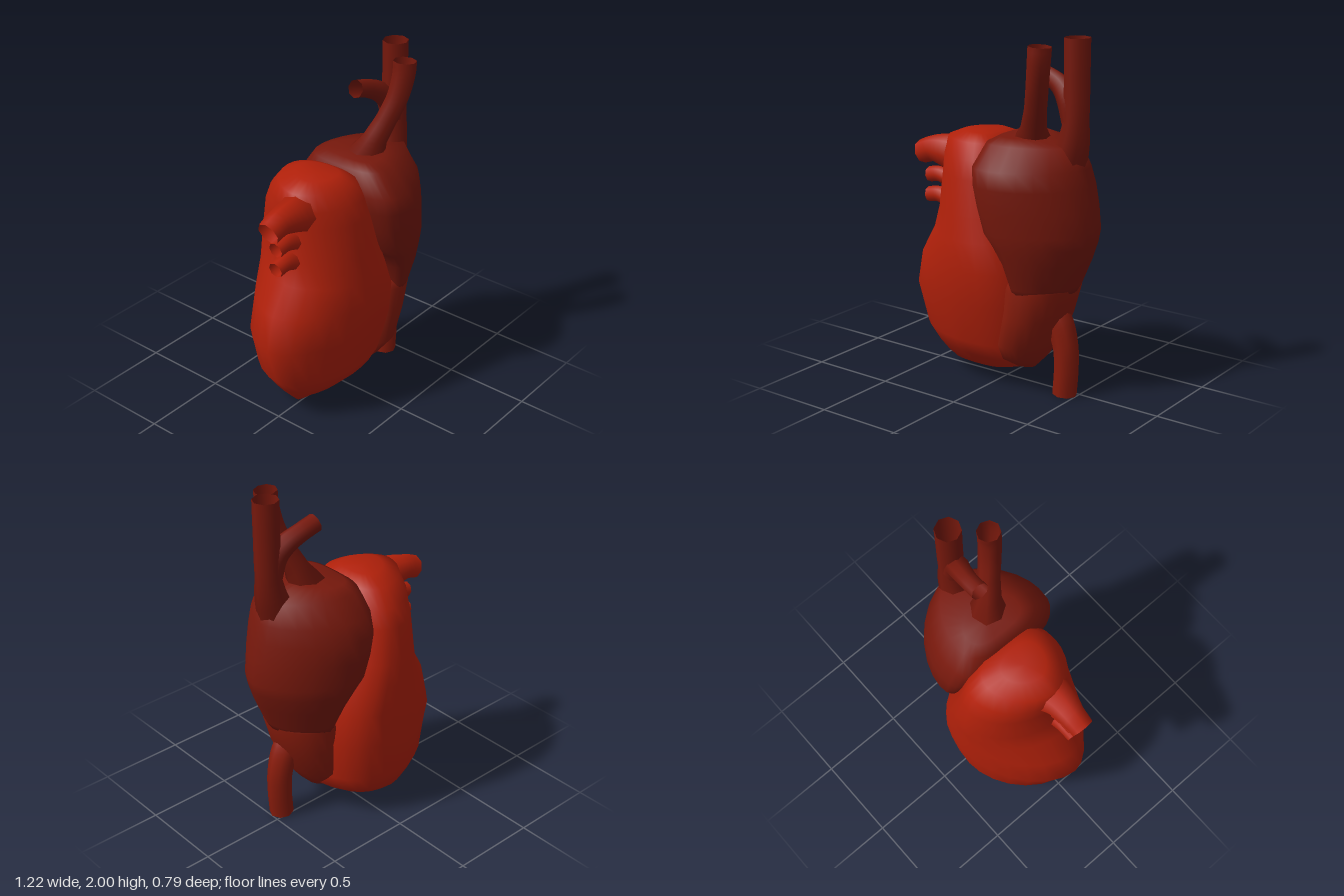
import * as THREE from 'three';

const BRIGHT = 0xb0200a, DARK = 0x76180c, MID = 0x861b0b;

function makeMesh(name, geometry, color) {
  const material = new THREE.MeshStandardMaterial({ color, side: THREE.DoubleSide });
  const mesh = new THREE.Mesh(geometry, material);
  mesh.name = name;
  return mesh;
}

// Closed body from horizontal rings, listed top to bottom.
// Each ring: [y, xMin, xMax, xWidest, zFront, zBack]; nL and nR set how boxy each side is.
function loft(rings, zMid, nL, nR, sides = 28) {
  const pos = [], index = [];
  const addRing = ([y, x0, x1, xc, zf, zb], scale) => {
    const mx = (x0 + x1) / 2, mz = (zf + zb) / 2;
    const zc = Math.min(Math.max(zMid, zb + 0.02), zf - 0.02);
    for (let j = 0; j < sides; j++) {
      const a = (j / sides) * Math.PI * 2, c = Math.cos(a), s = Math.sin(a);
      const p = 2 / (c < 0 ? nL : nR);
      const x = xc + Math.sign(c) * Math.abs(c) ** p * (c < 0 ? xc - x0 : x1 - xc);
      const z = zc + Math.sign(s) * Math.abs(s) ** p * (s < 0 ? zc - zb : zf - zc);
      pos.push(mx + (x - mx) * scale, y, mz + (z - mz) * scale);
    }
  };
  addRing(rings[0], 0.001);
  rings.forEach((r) => addRing(r, 1));
  addRing(rings[rings.length - 1], 0.001);
  for (let i = 0; i <= rings.length; i++) {
    for (let j = 0; j < sides; j++) {
      const a = i * sides + j, b = i * sides + ((j + 1) % sides);
      index.push(a, b, a + sides, b, b + sides, a + sides);
    }
  }
  const g = new THREE.BufferGeometry();
  g.setAttribute('position', new THREE.Float32BufferAttribute(pos, 3));
  g.setIndex(index);
  g.computeVertexNormals();
  return g;
}

// Open tube along points [x, y, z, radius], with the radius varying along it.
function vessel(points, steps = 20, sides = 8) {
  const curve = new THREE.CatmullRomCurve3(points.map((p) => new THREE.Vector3(p[0], p[1], p[2])));
  const g = new THREE.TubeGeometry(curve, steps, 1, sides, false);
  const pos = g.attributes.position, v = new THREE.Vector3();
  for (let i = 0; i <= steps; i++) {
    const centre = curve.getPointAt(i / steps);
    const t = curve.getUtoTmapping(i / steps) * (points.length - 1);
    const k = Math.min(Math.floor(t), points.length - 2);
    const r = THREE.MathUtils.lerp(points[k][3], points[k + 1][3], t - k);
    for (let j = 0; j <= sides; j++) {
      const n = i * (sides + 1) + j;
      v.fromBufferAttribute(pos, n).sub(centre).multiplyScalar(r).add(centre);
      pos.setXYZ(n, v.x, v.y, v.z);
    }
  }
  return g;
}

export function createModel() {
  const heart = new THREE.Group();
  heart.name = 'heart';

  // Large bright chamber on the model's right
  heart.add(makeMesh('mainChamber', loft([
    [1.43, -0.27, -0.05, -0.14, 0.12, -0.13],
    [1.39, -0.37, 0.03, -0.12, 0.2, -0.23],
    [1.3, -0.39, 0.07, -0.1, 0.25, -0.31],
    [1.2, -0.39, 0.09, -0.1, 0.28, -0.355],
    [1.0, -0.41, 0.15, -0.09, 0.31, -0.385],
    [0.86, -0.45, 0.2, -0.07, 0.335, -0.39],
    [0.7, -0.55, 0.25, -0.04, 0.355, -0.39],
    [0.5, -0.6, 0.28, -0.06, 0.325, -0.395],
    [0.26, -0.53, 0.26, -0.1, 0.27, -0.375],
    [0.17, -0.465, 0.24, -0.1, 0.22, -0.34],
    [0.1, -0.41, 0.15, -0.13, 0.15, -0.29],
    [0.045, -0.36, -0.02, -0.18, 0.06, -0.24],
    [0.005, -0.2, -0.12, -0.16, -0.03, -0.1],
  ], 0.02, 1.8, 2.4), BRIGHT));

  // Dark upper chamber on the model's left
  heart.add(makeMesh('upperChamber', loft([
    [1.45, 0.05, 0.28, 0.16, 0.2, -0.14],
    [1.42, 0.0, 0.5, 0.16, 0.28, -0.21],
    [1.3, -0.04, 0.545, 0.16, 0.385, -0.29],
    [1.2, -0.025, 0.57, 0.16, 0.395, -0.335],
    [1.08, 0.005, 0.595, 0.17, 0.39, -0.335],
    [0.95, 0.05, 0.61, 0.19, 0.38, -0.325],
    [0.88, 0.11, 0.595, 0.22, 0.365, -0.305],
    [0.78, 0.17, 0.56, 0.25, 0.34, -0.27],
    [0.64, 0.2, 0.5, 0.27, 0.3, -0.215],
    [0.6, 0.2, 0.48, 0.27, 0.285, -0.205],
  ], 0.04, 3.2, 1.7), DARK));

  // Lower chamber under the dark one
  heart.add(makeMesh('lowerChamber', loft([
    [0.68, 0.1, 0.46, 0.25, 0.26, -0.18],
    [0.62, 0.1, 0.485, 0.25, 0.292, -0.21],
    [0.45, 0.08, 0.435, 0.22, 0.285, -0.2],
    [0.28, 0.04, 0.36, 0.18, 0.272, -0.19],
    [0.18, 0.0, 0.285, 0.15, 0.2, -0.12],
    [0.11, 0.03, 0.22, 0.12, 0.09, -0.05],
  ], 0.04, 2, 2), MID));

  // Vessels rising from and leaving the dark side
  const darkVessels = {
    upperVein: [[0.483, 2, 0.04, 0.072], [0.483, 1.8, 0.04, 0.071], [0.48, 1.56, 0.04, 0.071],
      [0.465, 1.44, 0.04, 0.09], [0.43, 1.32, 0.04, 0.11]],
    frontArtery: [[0.355, 1.96, 0.2, 0.065], [0.35, 1.89, 0.2, 0.064], [0.325, 1.75, 0.178, 0.062],
      [0.285, 1.62, 0.135, 0.062], [0.24, 1.5, 0.09, 0.072], [0.21, 1.4, 0.06, 0.12]],
    sideBranch: [[0.19, 1.795, -0.005, 0.052], [0.29, 1.765, 0, 0.052], [0.37, 1.725, 0.015, 0.058],
      [0.43, 1.66, 0.035, 0.066], [0.465, 1.55, 0.04, 0.066]],
  };
  for (const [name, path] of Object.entries(darkVessels)) heart.add(makeMesh(name, vessel(path), DARK));
  heart.add(makeMesh('lowerVein', vessel([[0.43, 0, 0.045, 0.07], [0.44, 0.16, 0.045, 0.07],
    [0.432, 0.29, 0.045, 0.072], [0.385, 0.42, 0.045, 0.08], [0.27, 0.54, 0.045, 0.09]]), MID));

  // Three short vessels on the bright side
  const brightVessels = {
    topSideVessel: [[-0.585, 1.248, 0.035, 0.068], [-0.5, 1.277, 0.035, 0.075],
      [-0.4, 1.28, 0.04, 0.098], [-0.3, 1.265, 0.03, 0.13], [-0.18, 1.25, 0.02, 0.16]],
    middleSideVessel: [[-0.53, 1.122, 0.035, 0.045], [-0.46, 1.133, 0.035, 0.046],
      [-0.39, 1.12, 0.035, 0.052], [-0.3, 1.09, 0.035, 0.065]],
    lowerSideVessel: [[-0.535, 1.002, 0.035, 0.045], [-0.46, 1.013, 0.035, 0.047],
      [-0.4, 1.0, 0.035, 0.053], [-0.3, 0.97, 0.035, 0.065]],
  };
  for (const [name, path] of Object.entries(brightVessels)) heart.add(makeMesh(name, vessel(path, 14), BRIGHT));

  return heart;
}
